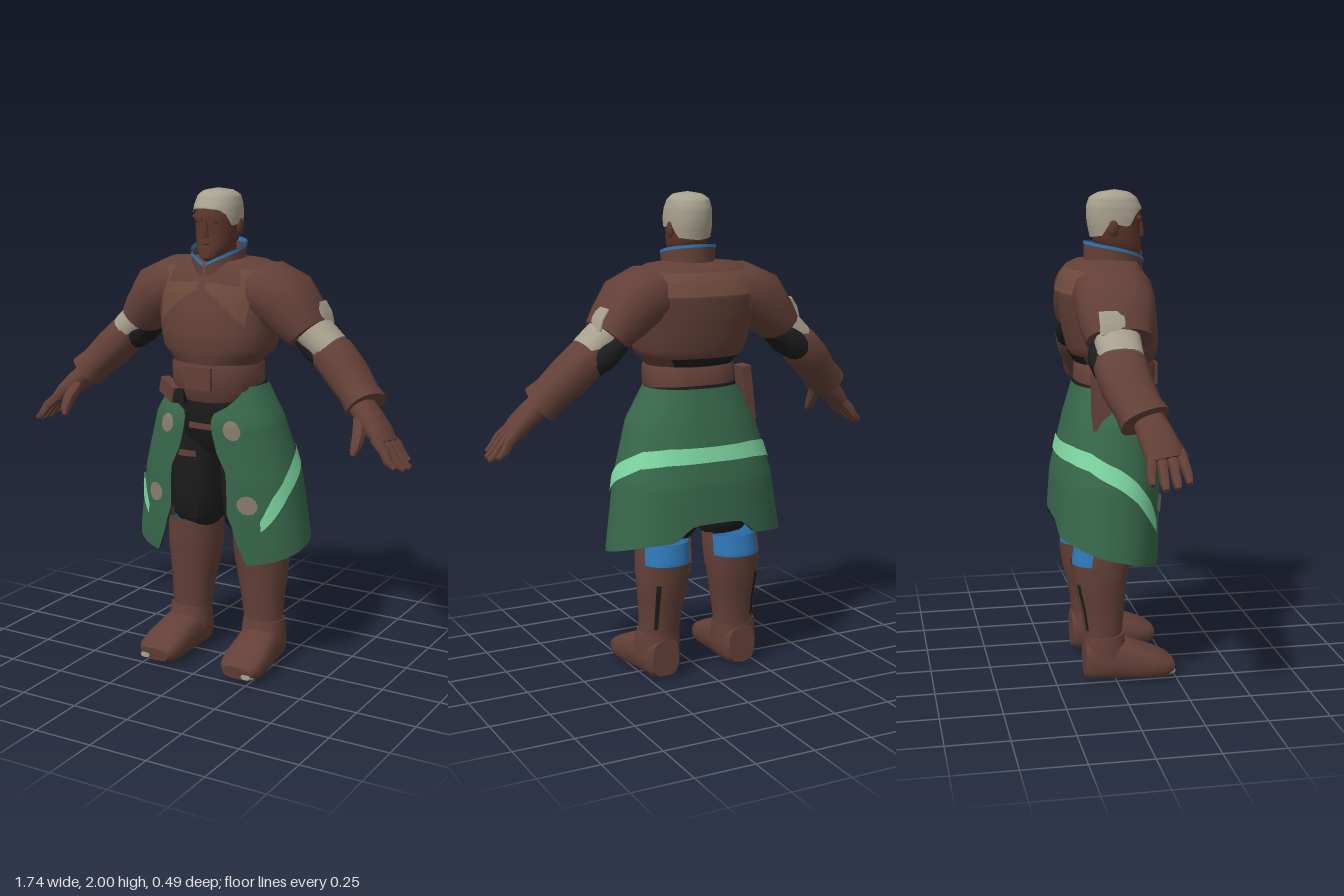
import * as THREE from 'three';
import { toCreasedNormals } from 'three/addons/utils/BufferGeometryUtils.js';

const paint = (name, color, side = THREE.FrontSide) => {
  const m = new THREE.MeshStandardMaterial({ color, side });
  m.name = name;
  return m;
};
const { lerp } = THREE.MathUtils;
const TAU = Math.PI * 2;
const V = (x, y, z) => new THREE.Vector3(x, y, z);

// Linear lookup in rows [key, a, b, ...] sorted by rising key
function look(rows, k) {
  if (k <= rows[0][0]) return rows[0].slice(1);
  for (let i = 1; i < rows.length; i++) {
    if (k > rows[i][0]) continue;
    const t = (k - rows[i - 1][0]) / (rows[i][0] - rows[i - 1][0]);
    return rows[i].slice(1).map((v, j) => lerp(rows[i - 1][j + 1], v, t));
  }
  return rows[rows.length - 1].slice(1);
}

// Surface from f(u, v); faces look along du x dv
function grid(f, nu, nv, crease = 0.7) {
  const pos = [], idx = [];
  for (let j = 0; j <= nv; j++) for (let i = 0; i <= nu; i++) pos.push(...f(i / nu, j / nv).toArray());
  for (let j = 0; j < nv; j++) for (let i = 0; i < nu; i++) {
    const a = j * (nu + 1) + i, c = a + nu + 1;
    idx.push(a, a + 1, c, a + 1, c + 1, c);
  }
  const g = new THREE.BufferGeometry();
  g.setAttribute('position', new THREE.Float32BufferAttribute(pos, 3));
  g.setIndex(idx);
  return toCreasedNormals(g, crease);
}
const bend = (v, p) => Math.sign(v) * Math.abs(v) ** p;

// Capped loft through sections [x, y, z, halfWidth, halfDepth]
function loft(secs, { n = 16, p = 0.85, ref = V(0, 0, 1) } = {}) {
  const rings = secs.map((s, i) => {
    const a = secs[Math.max(0, i - 1)], b = secs[Math.min(secs.length - 1, i + 1)];
    const T = V(b[0] - a[0], b[1] - a[1], b[2] - a[2]).normalize();
    const U = T.clone().cross(ref).normalize();
    return { c: V(s[0], s[1], s[2]), U, W: U.clone().cross(T), a: s[3], b: s[4] };
  });
  const last = rings[rings.length - 1];
  const all = [{ ...rings[0], a: 0, b: 0 }, ...rings, { ...last, a: 0, b: 0 }];
  return grid((u, v) => {
    const r = all[Math.round(v * (all.length - 1))], t = u * TAU;
    return r.c.clone().addScaledVector(r.U, r.a * bend(Math.sin(t), p)).addScaledVector(r.W, r.b * bend(Math.cos(t), p));
  }, n, all.length - 1);
}

// Point on an upright body with rows [y, halfWidth, frontZ, backZ]
function around(rows, t, y, off = 0, cx = 0, p = 0.9) {
  const [rx, zf, zb] = look(rows, y);
  return V(cx + (rx + off) * bend(Math.sin(t), p), y, (zf + zb) / 2 + ((zf - zb) / 2 + off) * bend(Math.cos(t), p));
}

const TORSO = [[1.28, 0.17, 0.18, -0.11], [1.32, 0.19, 0.195, -0.135], [1.36, 0.235, 0.205, -0.16], [1.42, 0.25, 0.21, -0.175],
  [1.5, 0.265, 0.2, -0.19], [1.6, 0.285, 0.175, -0.2], [1.66, 0.28, 0.15, -0.175], [1.7, 0.24, 0.13, -0.145], [1.725, 0.17, 0.11, -0.11], [1.735, 0.02, 0.04, 0]];
const SKIRT = [[0.48, 0.39, 0.2, -0.25], [0.56, 0.385, 0.205, -0.248], [0.84, 0.345, 0.212, -0.232], [1.08, 0.275, 0.208, -0.178], [1.22, 0.2, 0.165, -0.14]];
const SKIRT_EDGE = [[0.485, 0.53], [0.58, 0.42], [0.67, 0.36], [0.69, 0.32], [0.88, 0.34], [0.96, 0.24], [1.04, 0.19], [1.11, 0.18], [1.15, 0.5], [1.22, 0.95]];
const HEAD = [[1.715, 0.025, 0.12, 0.05], [1.73, 0.045, 0.143, 0.02], [1.765, 0.068, 0.143, -0.03], [1.8, 0.078, 0.138, -0.055], [1.86, 0.084, 0.138, -0.068],
  [1.89, 0.085, 0.143, -0.072], [1.93, 0.082, 0.135, -0.072], [1.965, 0.072, 0.115, -0.06], [1.985, 0.05, 0.085, -0.025], [1.994, 0, 0.035, 0.035]];
const SHIN = [[0.1, 0.08, 0.03, -0.12], [0.18, 0.083, 0.03, -0.12], [0.3, 0.092, 0.042, -0.138], [0.4, 0.106, 0.052, -0.163], [0.5, 0.112, 0.066, -0.178], [0.61, 0.108, 0.075, -0.16]];

export function createModel() {
  const root = new THREE.Group();
  const coat = paint('coat brown', 0x634037, THREE.DoubleSide), trim = paint('panel brown', 0x6e493c);
  const skin = paint('skin', 0x5c372b), ash = paint('ash grey', 0xa8a18e), patchGrey = paint('patch grey', 0x8b7d70);
  const green = paint('skirt green', 0x38684c), mint = paint('mint stripe', 0x7fd8a4);
  const black = paint('black cloth', 0x1d1d1d, THREE.DoubleSide), blue = paint('blue', 0x2f78b8, THREE.DoubleSide);
  const add = (name, geo, mat, parent = root) => {
    const m = new THREE.Mesh(geo, mat);
    m.name = name;
    parent.add(m);
    return m;
  };
  const box = (name, mat, [w, h, d], [x, y, z], rot = [0, 0, 0]) => {
    const m = add(name, new THREE.BoxGeometry(w, h, d), mat);
    m.position.set(x, y, z);
    m.rotation.set(...rot);
  };

  // Jacket with raised panels on chest and yoke
  add('jacket', grid((u, v) => around(TORSO, u * TAU, lerp(1.28, 1.735, v)), 32, 24), coat);
  add('yokePanel', grid((u, v) => around(TORSO, lerp(0.55, TAU - 0.55, u), lerp(1.6, 1.69, v), 0.007), 32, 4), trim);
  add('backWaistLining', grid((u, v) => around(TORSO, Math.PI + lerp(-0.7, 0.7, u), lerp(1.31, 1.345, v), 0.006), 12, 2), black);
  for (const s of [-1, 1]) {
    add('chestPanel', grid((u, v) => {
      const k = s > 0 ? u : 1 - u;
      return around(TORSO, s * lerp(0.05, 0.75, k), lerp(lerp(1.61, 1.47, k), lerp(1.64, 1.62, k), v), 0.006);
    }, 8, 4), trim);
  }

  // Belt, buckle, pouches
  add('belt', loft([[0, 1.2, 0.025, 0.18, 0.155], [0, 1.215, 0.03, 0.188, 0.165], [0, 1.295, 0.035, 0.188, 0.165], [0, 1.31, 0.035, 0.18, 0.16]], { n: 28 }), coat);
  box('buckle', coat, [0.12, 0.09, 0.016], [0, 1.255, 0.197]);
  box('frontPouch', coat, [0.11, 0.065, 0.04], [-0.16, 1.185, 0.15], [0, -0.5, -0.3]);
  box('holster', black, [0.05, 0.06, 0.04], [-0.1, 1.17, 0.17]);
  box('hangingStrap', coat, [0.04, 0.23, 0.075], [-0.22, 1.175, -0.06], [0, 0, -0.12]);

  // Standing collar, split at the throat, with blue rim
  const collarTop = t => 1.7 + 0.09 * Math.sin(t / 2) ** 0.8;
  const collar = (t, y, o = 0) => V((0.108 + o) * Math.sin(t), y, 0.03 + (0.12 + o) * Math.cos(t));
  const ring = u => lerp(0.06, TAU - 0.06, u);
  add('collar', grid((u, v) => collar(ring(u), lerp(1.62, collarTop(ring(u)), v)), 30, 3), coat);
  add('collarRim', grid((u, v) => collar(ring(u), collarTop(ring(u)) + lerp(-0.006, 0.006, v), 0.003), 30, 1), blue);
  add('collarInnerRim', grid((u, v) => collar(ring(u), collarTop(ring(u)) + lerp(-0.012, 0.006, v), -0.004), 30, 1), blue);

  // Head, hair and face
  add('neck', loft([[0, 1.64, 0.02, 0.075, 0.075], [0, 1.78, 0.03, 0.065, 0.07]]), skin);
  add('head', grid((u, v) => around(HEAD, u * TAU, lerp(1.715, 1.994, v)), 24, 20), skin);
  add('hair', grid((u, v) => {
    const t = u * TAU, a = Math.min(t, TAU - t);
    const low = look([[0, 1.925], [0.6, 1.92], [0.95, 1.9], [1.2, 1.855], [1.5, 1.86], [1.8, 1.875], [2.2, 1.82], [3.2, 1.81]], a)[0];
    const q = around(HEAD, t, lerp(low, 1.994, v), 0.008 * Math.min(1, (1 - v) * 8));
    return q.setY(q.y + 0.006 * v);
  }, 48, 18), ash);
  add('nose', loft([[0, 1.814, 0.134, 0.016, 0.02], [0, 1.826, 0.136, 0.015, 0.022], [0, 1.885, 0.136, 0.008, 0.01]], { n: 10, p: 1 }), skin);
  box('mouth', black, [0.034, 0.003, 0.004], [0, 1.784, 0.139]);
  box('chin', skin, [0.04, 0.025, 0.016], [0, 1.742, 0.136]);
  for (const s of [-1, 1]) {
    box('brow', skin, [0.052, 0.012, 0.02], [s * 0.036, 1.888, 0.128], [0, s * 0.35, s * 0.18]);
    box('eye', black, [0.024, 0.007, 0.006], [s * 0.035, 1.87, 0.128], [0, s * 0.35, 0]);
    const ear = add('ear', new THREE.SphereGeometry(1, 10, 8), skin);
    ear.scale.set(0.012, 0.034, 0.022);
    ear.position.set(s * 0.088, 1.85, 0.015);
  }

  // Split skirt with dark lining and a raised notch at the back hem
  const hem = t => 0.553 - 0.068 * Math.cos(t) + 0.06 * Math.exp(-(((t - Math.PI) / 0.36) ** 6));
  const onSkirt = (t, y, off) => around(SKIRT, t, y, off, 0, 0.88);
  const skirt = off => (u, v) => {
    const y = lerp(hem(lerp(0.5, TAU - 0.5, u)), 1.22, v), e = look(SKIRT_EDGE, y)[0];
    return onSkirt(lerp(e, TAU - e, u), y, off);
  };
  add('skirt', grid(skirt(0), 64, 28), green);
  add('skirtLining', grid(skirt(-0.008), 64, 28), black);
  const STRIPE = [[0, 0.962], [0.6, 0.96], [1.05, 0.945], [1.53, 0.89], [1.86, 0.825], [2.17, 0.74], [2.42, 0.655]];
  add('skirtStripe', grid((u, v) => {
    const t = lerp(0.74, TAU - 0.74, u), d = Math.abs(t - Math.PI);
    return onSkirt(t, look(STRIPE, d)[0] + lerp(-1, 1, v) * look([[0, 0.03], [1.5, 0.036], [2.2, 0.042], [2.42, 0.02]], d)[0], 0.006);
  }, 64, 2), mint);
  for (const s of [-1, 1]) for (const [t0, y0] of [[0.5, 1.055], [0.59, 0.75]]) {
    add('skirtPatch', grid((u, v) => onSkirt(s * t0 + 0.14 * v * Math.sin(u * TAU), y0 + 0.04 * v * Math.cos(u * TAU), 0.007), 12, 2), patchGrey);
  }

  // Trousers
  add('hips', loft([[0, 0.93, -0.02, 0.1, 0.1], [0, 1.0, -0.01, 0.2, 0.14], [0, 1.1, 0, 0.2, 0.155], [0, 1.22, 0.02, 0.18, 0.145]], { n: 24 }), black);
  box('groinStrap', coat, [0.15, 0.025, 0.012], [0, 1.045, 0.142]);

  for (const s of [-1, 1]) {
    const side = new THREE.Group();
    side.name = s > 0 ? 'leftLimbs' : 'rightLimbs';
    root.add(side);
    const limb = (name, mat, secs, opt) => add(name, loft(secs.map(([x, ...r]) => [s * x, ...r]), opt), mat, side);

    // Leg, boot and knee
    limb('trouserLeg', black, [[0.125, 0.59, -0.04, 0.08, 0.09], [0.122, 0.63, -0.035, 0.105, 0.125], [0.118, 0.75, -0.03, 0.112, 0.135], [0.108, 0.9, -0.02, 0.104, 0.135], [0.1, 1.04, -0.01, 0.098, 0.13]]);
    limb('thighStrap', coat, [[0.118, 0.9, -0.02, 0.108, 0.14], [0.118, 0.925, -0.02, 0.108, 0.14]]);
    const shin = (name, mat, t0, t1, y0, y1, off) => add(name, grid((u, v) => {
      const y = lerp(y0, y1, v);
      return around(SHIN, lerp(t0, t1, u), y, off, s * lerp(0.18, 0.16, (y - 0.1) / 0.4));
    }, 20, 8), mat, side);
    shin('bootShaft', coat, 0, TAU, 0.1, 0.5, 0);
    shin('kneeSock', blue, 0, TAU, 0.48, 0.585, -0.006);
    shin('kneeGuard', coat, -1.95, 1.95, 0.44, 0.61, 0.003);
    shin('calfStrip', black, Math.PI - s * 0.55 - 0.1, Math.PI - s * 0.55 + 0.1, 0.22, 0.42, 0.004);
    limb('ankleCuff', coat, [[0.182, 0.1, -0.035, 0.092, 0.09], [0.18, 0.16, -0.04, 0.092, 0.085], [0.18, 0.195, -0.042, 0.086, 0.08]]);
    limb('foot', coat, [[0.18, 0.09, -0.124, 0.06, 0.078], [0.18, 0.09, -0.1, 0.077, 0.088], [0.185, 0.09, 0, 0.088, 0.088], [0.192, 0.075, 0.08, 0.092, 0.073],
      [0.197, 0.062, 0.15, 0.096, 0.06], [0.2, 0.05, 0.21, 0.088, 0.045], [0.2, 0.045, 0.24, 0.066, 0.028]], { ref: V(0, 1, 0), p: 0.7 });
    limb('toeCap', ash, [[0.245, 0.034, 0.215, 0.03, 0.016], [0.243, 0.034, 0.243, 0.02, 0.01]], { ref: V(0, 1, 0), p: 0.7 });

    // Shoulder cape, upper arm and sleeve
    limb('shoulderCape', coat, [[0.12, 1.615, -0.01, 0.09, 0.14], [0.2, 1.605, -0.01, 0.115, 0.16], [0.285, 1.562, -0.015, 0.122, 0.158], [0.345, 1.495, -0.02, 0.102, 0.145], [0.39, 1.445, -0.02, 0.083, 0.13]]);
    limb('sleeveTab', ash, [[0.45, 1.475, -0.055, 0.008, 0.05], [0.438, 1.52, -0.055, 0.008, 0.05], [0.412, 1.56, -0.055, 0.008, 0.05]], { p: 0.5 });
    limb('upperSleeve', ash, [[0.34, 1.5, -0.025, 0.065, 0.085], [0.415, 1.437, -0.03, 0.07, 0.09], [0.475, 1.385, -0.03, 0.067, 0.09]]);
    limb('elbow', black, [[0.36, 1.43, -0.05, 0.05, 0.085], [0.42, 1.38, -0.05, 0.062, 0.098], [0.475, 1.345, -0.045, 0.06, 0.09]]);
    limb('forearm', coat, [[0.45, 1.39, -0.035, 0.06, 0.088], [0.48, 1.365, -0.035, 0.078, 0.103], [0.55, 1.295, -0.02, 0.08, 0.1], [0.62, 1.225, 0.008, 0.07, 0.092], [0.66, 1.185, 0.026, 0.076, 0.1]]);

    // Hand
    limb('palm', coat, [[0.63, 1.2, 0.035, 0.048, 0.058], [0.69, 1.145, 0.055, 0.045, 0.068], [0.735, 1.1, 0.07, 0.04, 0.074], [0.775, 1.06, 0.08, 0.024, 0.07]]);
    limb('thumb', coat, [[0.665, 1.14, 0.09, 0.028, 0.03], [0.68, 1.085, 0.14, 0.025, 0.025], [0.68, 1.05, 0.165, 0.022, 0.021], [0.675, 1.02, 0.18, 0.011, 0.011]], { n: 8 });
    for (let k = 0; k < 4; k++) {
      const zb = 0.026 + 0.036 * k, zt = 0.016 + 0.046 * k, r = 0.83 + [0.0, 0.025, 0.02, 0][k];
      limb('finger', coat, [[0.745, 1.085, zb, 0.021, 0.021], [0.79, 1.045, lerp(zb, zt, 0.5), 0.021, 0.02],
        [r - 0.02, 1.01 - (r - 0.83), zt, 0.018, 0.018], [r + 0.01, 0.985 - (r - 0.83) * 0.6, zt, 0.01, 0.011]], { n: 8 });
    }
  }
  return root;
}
